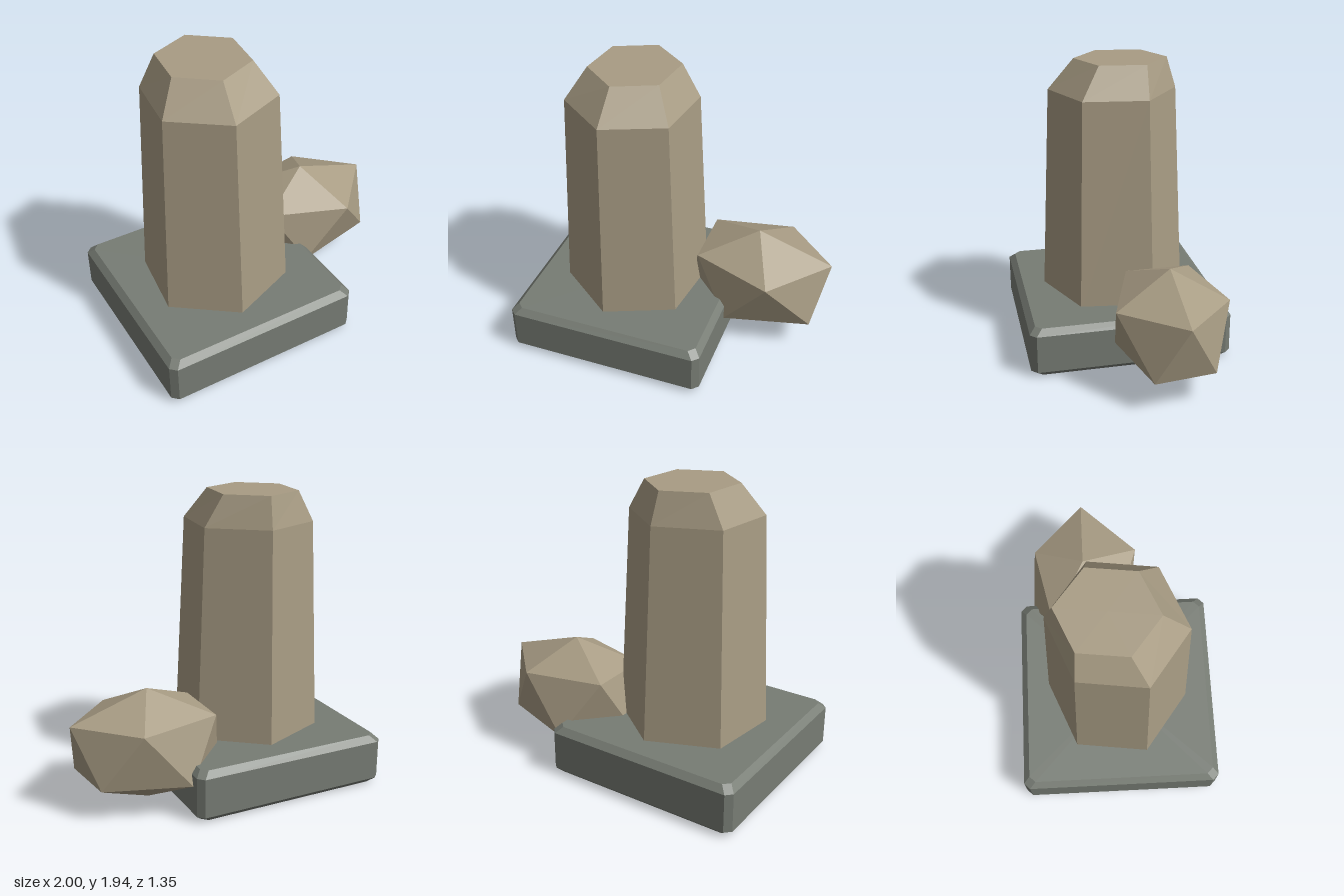
import * as THREE from 'three';

// Skins a stack of equal-length rings, lowest first, closing each end to a point
function loft(rings, bottom, top) {
  const pos = [];
  const tri = (...pts) => pts.forEach((p) => pos.push(...p));
  const n = rings[0].length;
  const last = rings[rings.length - 1];
  for (let i = 0; i < n; i++) {
    const j = (i + 1) % n;
    tri(rings[0][j], rings[0][i], bottom);
    for (let k = 0; k < rings.length - 1; k++) {
      const lo = rings[k], hi = rings[k + 1];
      tri(lo[i], hi[j], hi[i]);
      tri(lo[i], lo[j], hi[j]);
    }
    tri(last[i], last[j], top);
  }
  const g = new THREE.BufferGeometry();
  g.setAttribute('position', new THREE.Float32BufferAttribute(pos, 3));
  g.computeVertexNormals();
  return g;
}

// Square with clipped corners, centred on x = cx
function clippedSquare(cx, y, half, cut) {
  const ring = [];
  for (let q = 0; q < 4; q++) {
    const s = Math.round(Math.sin(q * Math.PI / 2)), c = Math.round(Math.cos(q * Math.PI / 2));
    for (const [x, z] of [[half - cut, half], [half, half - cut]]) {
      ring.push([cx + x * c + z * s, y, z * c - x * s]);
    }
  }
  return ring;
}

// Hexagon turned slightly off the axes
function hexagon(cx, y, cz, rx, rz) {
  return Array.from({ length: 6 }, (_, i) => {
    const a = (52.5 + i * 60) * Math.PI / 180;
    return [cx + Math.sin(a) * rx, y, cz + Math.cos(a) * rz];
  });
}

export function createModel() {
  const group = new THREE.Group();
  const slate = new THREE.MeshStandardMaterial({ color: 0x777c74, flatShading: true });
  slate.name = 'greySlate';
  const stone = new THREE.MeshStandardMaterial({ color: 0xa89c84, flatShading: true });
  stone.name = 'tanStone';
  const add = (name, geometry, material) => {
    const mesh = new THREE.Mesh(geometry, material);
    mesh.name = name;
    group.add(mesh);
  };

  // Chamfered square plinth
  const cx = -0.325;
  add('plinth', loft([
    clippedSquare(cx, 0, 0.635, 0.04),
    clippedSquare(cx, 0.04, 0.675, 0.04),
    clippedSquare(cx, 0.3, 0.675, 0.04),
    clippedSquare(cx, 0.34, 0.635, 0.04),
  ], [cx, 0, 0], [cx, 0.34, 0]), slate);

  // Tapered six-sided pillar with an off-centre sloped crown
  add('pillar', loft([
    hexagon(cx, 0.3, 0, 0.489, 0.489),
    hexagon(cx, 1.735, 0, 0.424, 0.424),
    hexagon(cx, 1.937, -0.057, 0.291, 0.308),
  ], [cx, 0.3, 0], [cx, 1.937, -0.057]), stone);

  // Twenty-faced boulder leaning on the plinth
  const lower = [[0.92, 0.215, 0], [0.88, 0.22, -0.4], [0.35, 0.225, -0.585], [0, 0.2, -0.22], [0.35, 0.205, 0.125]];
  const upper = [[0.645, 0.575, 0.18], [1, 0.595, -0.2], [0.65, 0.59, -0.545], [0.115, 0.6, -0.43], [0.115, 0.6, 0]];
  add('boulder', loft([lower, upper], [0.49, 0.015, -0.2], [0.49, 0.765, -0.2]), stone);

  return group;
}
